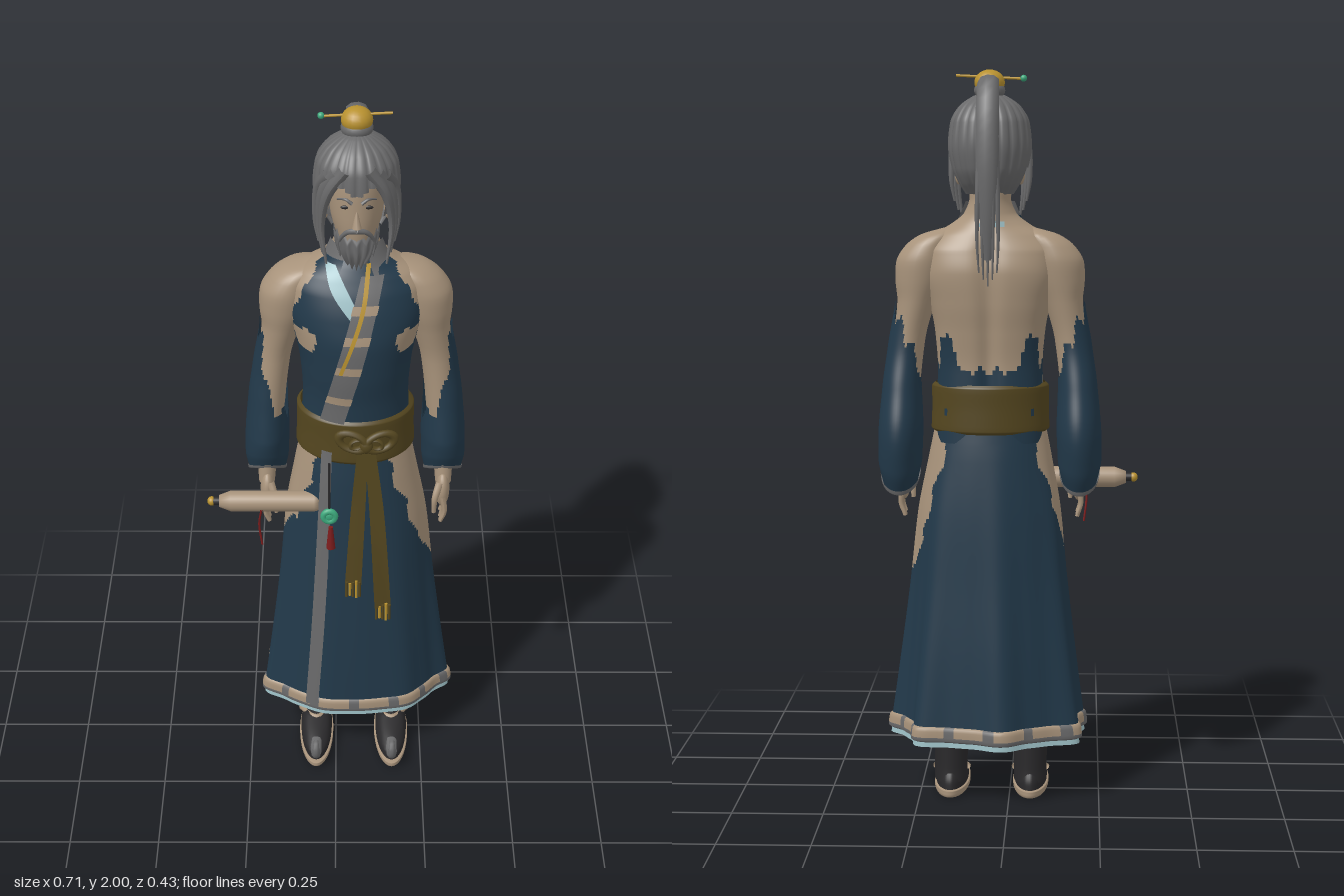
import * as THREE from 'three';

const mat = (name, color) => Object.assign(new THREE.MeshStandardMaterial({ color, side: THREE.DoubleSide }), { name });
const C = 0.053; // x of the body's mirror plane
const V = (x, y, z) => new THREE.Vector3(x, y, z);
const zig = (a, n) => Math.abs(((a * n / Math.PI) % 2 + 2) % 2 - 1); // ragged edges
const R = (cx, cz, list) => list.map(([y, rx, f, b = f]) => [y, cx, cz, rx, f, b]);

// Smooth section [y, cx, cz, rx, front, back] at a height, from rows sorted upward
function sectionAt(rows, y) {
  let i = 0;
  while (i < rows.length - 2 && y > rows[i + 1][0]) i++;
  const h = rows[i + 1][0] - rows[i][0], u = Math.min(1, Math.max(0, (y - rows[i][0]) / h));
  const slope = (k, c) => (rows[k + 1][c] - rows[k][c]) / (rows[k + 1][0] - rows[k][0]);
  const tangent = (k, c) => {
    const s = k > 0 ? slope(k - 1, c) : slope(k, c), t = k < rows.length - 1 ? slope(k, c) : s;
    return s * t <= 0 ? 0 : 2 * s * t / (s + t);
  };
  return [0, 1, 2, 3, 4, 5].map(c => c === 0 ? y :
    rows[i][c] * (1 + 2 * u) * (1 - u) ** 2 + tangent(i, c) * h * u * (1 - u) ** 2 +
    rows[i + 1][c] * u * u * (3 - 2 * u) + tangent(i + 1, c) * h * u * u * (u - 1));
}

// Front surface depth of a lofted part
const surface = rows => (x, y) => {
  const [, cx, cz, rx, f] = sectionAt(rows, y);
  return cz + f * Math.sqrt(Math.max(0, 1 - ((x - cx) / rx) ** 2));
};

// Stack of oval sections; pick chooses the material of each facet (-1 leaves a hole)
function loft(name, rows, mats, { nu = 40, sub = 4, mod, pick = () => 0 } = {}) {
  const pos = [], ys = [], lists = mats.map(() => []);
  rows.slice(1).forEach((r, i) => {
    for (let k = 0; k < sub; k++) ys.push(rows[i][0] + (r[0] - rows[i][0]) * k / sub);
  });
  ys.push(rows[rows.length - 1][0]);
  ys.forEach(y => {
    const [, cx, cz, rx, f, b] = sectionAt(rows, y);
    for (let j = 0; j < nu; j++) {
      const a = j / nu * 2 * Math.PI - Math.PI, c = Math.cos(a);
      const p = V(cx + rx * Math.sin(a), y, cz + (c > 0 ? f : b) * c);
      if (mod) mod(p, a, cx, cz);
      pos.push(p.x, p.y, p.z);
    }
  });
  for (let i = 0; i < ys.length - 1; i++) for (let j = 0; j < nu; j++) {
    const k = (j + 1) % nu, A = i * nu + j, B = i * nu + k, D = A + nu, E = B + nu;
    const mid = n => (pos[A * 3 + n] + pos[E * 3 + n]) / 2;
    const m = pick((j + 0.5) / nu * 2 * Math.PI - Math.PI, mid(1), mid(0), mid(2));
    if (m >= 0) lists[m].push(A, B, E, A, E, D);
  }
  const g = new THREE.BufferGeometry();
  g.setAttribute('position', new THREE.Float32BufferAttribute(pos, 3));
  g.setIndex(lists.flat());
  let start = 0;
  lists.forEach((l, i) => { if (l.length) g.addGroup(start, l.length, i); start += l.length; });
  g.computeVertexNormals();
  return Object.assign(new THREE.Mesh(g, mats), { name });
}

// Tube whose thickness follows r(t)
function strand(name, pts, r, m, flat = 1) {
  const curve = new THREE.CatmullRomCurve3(pts.map(p => V(...p))), n = 18;
  const g = new THREE.TubeGeometry(curve, n, 1, 9), p = g.attributes.position;
  for (let i = 0; i < p.count; i++) {
    const t = Math.floor(i / 10) / n, c = curve.getPointAt(t);
    const d = V().fromBufferAttribute(p, i).sub(c).multiplyScalar(r(t));
    p.setXYZ(i, c.x + d.x * flat, c.y + d.y, c.z + d.z);
  }
  g.computeVertexNormals();
  return Object.assign(new THREE.Mesh(g, m), { name });
}

// Strip of cloth lying on a surface; points are [x, y, half width], top first
function ribbon(name, pts, depth, off, m) {
  const curve = new THREE.CatmullRomCurve3(pts.map(p => V(...p)));
  const g = new THREE.PlaneGeometry(1, 1, 5, 24), p = g.attributes.position;
  for (let i = 0; i < p.count; i++) {
    const c = curve.getPoint(0.5 - p.getY(i)), x = c.x + p.getX(i) * 2 * c.z;
    p.setXYZ(i, x, c.y, depth(x, c.y) + off);
  }
  g.computeVertexNormals();
  return Object.assign(new THREE.Mesh(g, m), { name });
}

export function createModel() {
  const model = new THREE.Group();
  const skin = mat('skin', 0xa8937b), navy = mat('navy cloth', 0x22394a), brown = mat('brown belt', 0x54461f),
    grey = mat('grey hair', 0x6a6a6b), gold = mat('gold', 0xb8912f), pale = mat('pale lining', 0x9dc0c6),
    black = mat('black', 0x29282a), jade = mat('jade', 0x3ca87c), red = mat('red', 0x7c1c1c);
  const add = (...m) => model.add(...m);
  const solid = (name, geo, m, x, y, z, s = [1, 1, 1], r = [0, 0, 0]) => {
    const mesh = Object.assign(new THREE.Mesh(geo, m), { name });
    mesh.position.set(x, y, z); mesh.scale.set(...s); mesh.rotation.set(...r);
    add(mesh);
  };
  const ball = new THREE.SphereGeometry(1, 20, 14), rod = new THREE.CylinderGeometry(1, 1, 1, 16);

  // Torso with torn vest and a broad grooved back
  const torso = R(C, -0.02, [[1.0, .148, .125, .11], [1.1, .147, .125, .11], [1.2, .143, .13, .11], [1.3, .15, .143, .12],
    [1.38, .165, .146, .132], [1.46, .182, .132, .138], [1.52, .18, .112, .126], [1.56, .155, .092, .11],
    [1.59, .105, .076, .098], [1.62, .07, .06, .09], [1.66, .056, .052, .084], [1.74, .055, .05, .08]]);
  add(loft('torso and vest', torso, [skin, navy], {
    nu: 96, sub: 8,
    mod: (p, a, cx, cz) => {
      const c = Math.cos(a), s = Math.sin(a);
      if (c >= 0 || p.y > 1.6) return;
      const w = Math.min(1, (1.6 - p.y) / .08), k = 1 + w * ((Math.abs(c) ** 2.7 + Math.abs(s) ** 2.7) ** (-1 / 2.7) - 1);
      p.x = cx + (p.x - cx) * k;
      p.z = cz + (p.z - cz) * k + w * .014 * Math.exp(-((s / .16) ** 2));
    },
    pick: (a, y, x, z) => {
      const d = Math.abs(a), ox = Math.abs(x - C);
      if (Math.hypot(ox - .135, (y - 1.395) * 1.1) < .027 + .012 * zig(y, 120) && z > 0) return 0;
      if (d > 1.75) return y < 1.17 + .17 * zig(a, 8) * zig(a, 3) + .03 * zig(a, 23) ? 1 : 0;
      if (y > 1.37) return y < 1.63 && z > 0 && ox < .165 - Math.max(0, y - 1.47) * .55 + .008 * zig(y, 90) ? 1 : 0;
      return d < 1.6 + .15 * zig(y, 40) ? 1 : 0;
    }
  }));
  const chest = surface(torso);

  // Collar, diagonal sash and piping
  add(loft('collar', R(C, -0.025, [[1.565, .125, .1, .1], [1.6, .09, .08, .095], [1.65, .067, .066, .09]]), [navy, grey],
    { nu: 60, pick: (a, y) => Math.abs(a) < .45 || Math.abs(a) > 1.5 ? -1 : a > 0 || y > 1.61 ? 1 : 0 }));
  add(ribbon('pale lapel', [[-.015, 1.6, .014], [.01, 1.54, .022], [.07, 1.45, .014]], chest, .006, pale));
  const sashX = y => -.012 + (y - 1.15) * .25;
  add(ribbon('sash', [[sashX(1.58), 1.58, .03], [sashX(1.35), 1.35, .034], [sashX(1.15), 1.15, .032]], chest, .009, grey));
  [1.23, 1.33, 1.42, 1.5].forEach(y =>
    add(ribbon('sash band', [[sashX(y + .012), y + .012, .034], [sashX(y - .012), y - .012, .034]], chest, .012, skin)));
  add(ribbon('gold piping', [[.085, 1.61, .006], [.07, 1.5, .006], [.012, 1.32, .005]], chest, .014, gold));
  add(ribbon('nape tear', [[.04, 1.6, .03], [.05, 1.585, .04]], () => -.125, 0, pale));

  // Skirt with torn hips, trimmed hem and lining
  const skirt = R(C, -0.02, [[.165, .262, .166, .176], [.4, .236, .16, .165], [.6, .215, .153, .152], [.8, .197, .144, .14],
    [.95, .17, .136, .126], [1.05, .15, .126, .112]]);
  const ripple = (p, a, cx, cz) => {
    const w = Math.min(1, Math.max(0, (1 - p.y) / .8)), c = Math.cos(a);
    const k = 1 + w * (.075 * Math.cos(7 * a + 2.2) + .02 * Math.cos(14 * a + 4.4)) * (1 - .8 * Math.max(0, c));
    p.x = cx + (p.x - cx) * k;
    p.z = cz + (p.z - cz) * k;
  };
  const grow = (rows, list) => list.map(([y, e]) => sectionAt(rows, y).map((v, c) => c > 2 ? v + e : v));
  add(loft('skirt', skirt.map((r, i) => i ? r : sectionAt(skirt, .19)), [navy, skin], {
    nu: 144, sub: 16, mod: ripple,
    pick: (a, y) => {
      const d = Math.abs(a), t = (y - (a > 0 ? .63 : .7)) / .4, j = .16 * zig(y, 50);
      return t > .3 * zig(a, 6) && d > 1.15 - .65 * t + j && d < 1.95 + .55 * t - j ? 1 : 0;
    }
  }));
  add(loft('hem trim', grow(skirt, [[.178, -.004], [.184, .006], [.202, .007], [.218, .006], [.224, -.004]]), [skin, grey],
    { nu: 112, sub: 2, mod: ripple, pick: (a, y) => y < .19 || zig(a, 14) > .65 ? 1 : 0 }));
  add(loft('hem lining', grow(skirt, [[.165, -.003], [.2, -.004], [.235, -.004]]), [pale], { nu: 112, mod: ripple }));
  const lap = surface(skirt);
  add(ribbon('robe edge', [[-.025, 1.06, .014], [-.035, .8, .017], [-.05, .5, .018], [-.07, .2, .018]], lap, .012, grey));

  // Belt, knot and hanging ends
  const belt = R(C, -0.02, [[1.025, .152, .13, .115], [1.035, .162, .136, .121], [1.09, .16, .136, .121],
    [1.15, .16, .138, .123], [1.16, .15, .13, .115]]);
  add(loft('belt', belt, [brown], { nu: 64 }));
  const loop = new THREE.TorusGeometry(.032, .011, 10, 28);
  [-1, 1].forEach(s => {
    solid('knot loop', loop, brown, .082 + s * .038, 1.105, .122, [1.2, .78, 1], [0, s * .2, s * .3]);
    solid('knot inner loop', loop, brown, .082 + s * .026, 1.1, .126, [.55, .4, .8], [0, 0, -s * .4]);
  });
  solid('knot centre', ball, brown, .082, 1.095, .128, [.018, .022, .014]);
  const hang = (x, y) => Math.max(lap(x, y), .118) + .012 + .012 * Math.min(1, (1.08 - y) / .3);
  [[.072, .048, .65], [.092, .132, .565]].forEach(([x0, x1, y]) => {
    add(ribbon('belt end', [[x0, 1.08, .015], [(x0 + x1) / 2, .88, .02], [x1, y, .023]], hang, 0, brown));
    for (let i = -2; i <= 2; i++)
      solid('belt fringe', rod, i % 2 ? gold : brown, x1 + i * .009, y - .015, hang(x1, y), [.004, .05 + .008 * (i % 2), .004]);
  });

  // Arms, torn sleeves and hands
  [-1, 1].forEach(s => {
    const side = list => list.map(([y, o, z, rx, rz]) => [y, C + s * o, z, rx, rz, rz]);
    const arm = side([[.9, .245, 0, .022, .026], [1.0, .243, -.02, .03, .034], [1.15, .235, -.043, .044, .055], [1.28, .22, -.045, .044, .055],
      [1.38, .2, -.042, .052, .066], [1.44, .19, -.04, .067, .076], [1.49, .182, -.04, .072, .08], [1.53, .166, -.04, .064, .074],
      [1.56, .14, -.04, .05, .06], [1.585, .1, -.04, .004, .006]]);
    add(loft('arm', arm, [skin], { nu: 28 }));
    const sleeve = side([[.86, .245, -.055, .05, .07], [.93, .245, -.06, .06, .09], [1.02, .243, -.064, .061, .1], [1.15, .239, -.056, .054, .078],
      [1.26, .228, -.048, .05, .062], [1.36, .208, -.043, .052, .067], [1.42, .194, -.041, .066, .077]]);
    const tilt = p => { p.y += Math.max(0, (1.05 - p.y) / .19) * (p.z + .13) * .62; };
    add(loft('sleeve', sleeve, [navy], {
      nu: 56, sub: 8, mod: tilt,
      pick: (a, y) => y < 1.26 + .08 * Math.sin(a * s) - .12 * Math.max(0, Math.cos(a + s * .7)) + .055 * zig(a, 7) ? 0 : -1
    }));
    add(loft('cuff', grow(sleeve, [[.855, -.001], [.858, .003], [.872, .003]]), [grey], { mod: tilt }));
    const hx = C + s * .243;
    solid('palm', ball, skin, hx, .88, .012, [.02, .055, .034]);
    for (let i = 0; i < 4; i++) {
      const z = -.014 + i * .0175, e = .775 + Math.abs(i - 1.6) * .009;
      add(strand('finger', [[hx, .87, z], [hx + s * .006, .82, z + .002], [hx - s * .004, e, z]], t => .0095 - .004 * t, skin));
    }
    add(strand('thumb', [[hx - s * .008, .91, .03], [hx - s * .022, .87, .05], [hx - s * .024, .825, .05]], t => .012 - .006 * t, skin));
  });

  // Head and face
  const face = R(C, -0.03, [[1.615, .015, .05, .02], [1.64, .04, .083, .05], [1.68, .057, .096, .07], [1.74, .07, .101, .085],
    [1.8, .074, .101, .09], [1.86, .07, .092, .09], [1.9, .04, .05, .05]]);
  add(loft('face', face, [skin]));
  const brow = surface(face);
  solid('nose', new THREE.ConeGeometry(.014, .055, 8), skin, C, 1.748, .071, [.9, 1, 1], [-.15, 0, 0]);
  [-1, 1].forEach(s => {
    const x = C + s * .029;
    solid('eye', ball, black, x, 1.775, brow(x, 1.775), [.013, .005, .004]);
    add(strand('eyebrow', [[C + s * .012, 1.789, .073], [x, 1.8, .069], [C + s * .05, 1.793, .052]], t => .005 - .003 * t, grey));
    solid('ear', ball, skin, C + s * .083, 1.725, -.035, [.012, .03, .018]);
    add(strand('moustache', [[C, 1.715, .077], [C + s * .025, 1.707, .069], [C + s * .046, 1.67, .052], [C + s * .042, 1.63, .05]], t => .008 - .006 * t, grey));
    // Locks framing the face
    [0, 1, 2].forEach(i => add(strand('side lock', [[C + s * (.03 + i * .02), 1.875 - i * .01, .058 - i * .01], [C + s * (.072 + i * .012), 1.81, .05 - i * .02],
      [C + s * (.09 + i * .008), 1.71, .03 - i * .015], [C + s * (.078 + i * .01), 1.6 + i * .025, .035 - i * .015]], t => .018 - .015 * t, grey)));
  });
  add(loft('beard', R(C, .018, [[1.59, .004, .01], [1.62, .03, .038], [1.66, .053, .052], [1.69, .06, .052], [1.705, .058, .046]]), [grey],
    { nu: 60, mod: (p, a) => { p.y -= .008 * Math.cos(a * 15) + .018 * Math.max(0, Math.cos(a)); p.z += .004 * Math.cos(a * 15); } }));

  // Combed hair, topknot, ponytail and hairpin
  add(loft('hair', R(C, -0.035, [[1.67, .066, .06, .055], [1.7, .085, .09, .09], [1.74, .102, .105, .114], [1.8, .112, .114, .124], [1.86, .106, .108, .115],
    [1.9, .085, .085, .09], [1.93, .045, .045, .045], [1.945, .002, .002, .002]]), [grey], {
    nu: 132, sub: 6,
    mod: (p, a, cx, cz) => { const k = .96 + .05 * Math.sqrt(Math.abs(Math.sin(a * 11))); p.x = cx + (p.x - cx) * k; p.z = cz + (p.z - cz) * k; },
    pick: (a, y) => {
      const d = Math.abs(a);
      return (d < .7 && y < 1.835 - .03 * zig(a, 8)) || (d < 1.7 && y < 1.745) ? -1 : 0;
    }
  }));
  solid('topknot', ball, grey, C, 1.945, -.047, [.042, .028, .042]);
  solid('topknot cap', ball, gold, C, 1.966, -.047, [.041, .034, .041]);
  add(strand('ponytail', [[C, 1.965, -.06], [C, 1.965, -.115], [C, 1.9, -.165], [C, 1.78, -.19], [C, 1.62, -.189], [C, 1.5, -.178]],
    t => .017 + .008 * Math.sin(t * 3) - .012 * t, grey, 1.6));
  for (let i = -2; i <= 2; i++)
    add(strand('ponytail strand', [[C + i * .009, 1.82, -.184], [C + i * .013, 1.65, -.191 + .004 * (i % 2)], [C + i * .014, 1.55, -.185],
      [C + i * .012, 1.43 + Math.abs(i) * .018, -.172]], t => .012 - .01 * t, grey));
  solid('hairpin', rod, gold, C, 1.98, -.046, [.0035, .18, .0035], [0, 0, Math.PI / 2 + .05]);
  solid('hairpin bead', ball, jade, -.038, 1.977, -.046, [.009, .009, .009]);

  // Legs and curl-toed shoes
  [-1, 1].forEach(s => {
    const x = C + s * .111;
    add(loft('leg', R(x, -.033, [[.04, .046, .06, .055], [.08, .046, .056, .052], [.15, .047, .052], [.4, .05, .055]]), [black], { nu: 24 }));
    add(loft('sole', R(x, .03, [[0, .001, .001], [.003, .047, .155, .137], [.012, .05, .165, .14], [.022, .05, .165, .14], [.026, .001, .001]]), [skin], { nu: 36 }));
    add(loft('shoe', R(x, .03, [[.022, .045, .15, .13], [.04, .046, .145, .128], [.06, .042, .1, .12], [.078, .03, .03, .1], [.084, .002, .002]]), [black], { nu: 36 }));
    add(strand('curled toe', [[x, .045, .125], [x, .045, .175], [x, .065, .2], [x, .092, .2], [x, .098, .183]], t => .02 - .013 * t, grey));
    add(strand('shoe strap', [[x - .046, .065, -.01], [x, .075, .05], [x + .046, .065, -.01]], () => .009, skin));
  });

  // Scroll at the hip with cord, jade charm and tassel
  const profile = [[0, -.14], [.026, -.14], [.029, -.125], [.029, .105], [.017, .137], [0, .137]].map(p => new THREE.Vector2(...p));
  solid('scroll', new THREE.LatheGeometry(profile, 24), skin, -.185, .88, .076, [1, 1, 1], [0, 0, Math.PI / 2]);
  solid('scroll neck', rod, black, -.327, .88, .076, [.012, .022, .012], [0, 0, Math.PI / 2]);
  solid('scroll knob', ball, gold, -.343, .88, .076, [.012, .013, .013]);
  add(strand('scroll cord', [[-.205, .87, .104], [-.212, .82, .1], [-.205, .75, .1]], () => .003, red));
  solid('jade charm', new THREE.TorusGeometry(.016, .009, 10, 20), jade, -.018, .868, .132);
  solid('jade bead', ball, jade, -.018, .868, .132, [.015, .015, .008]);
  solid('charm tassel', new THREE.CylinderGeometry(.006, .013, .07, 10), red, -.014, .8, .136);
  solid('charm cord', rod, black, -.018, .96, .128, [.003, .16, .003]);
  return model;
}
